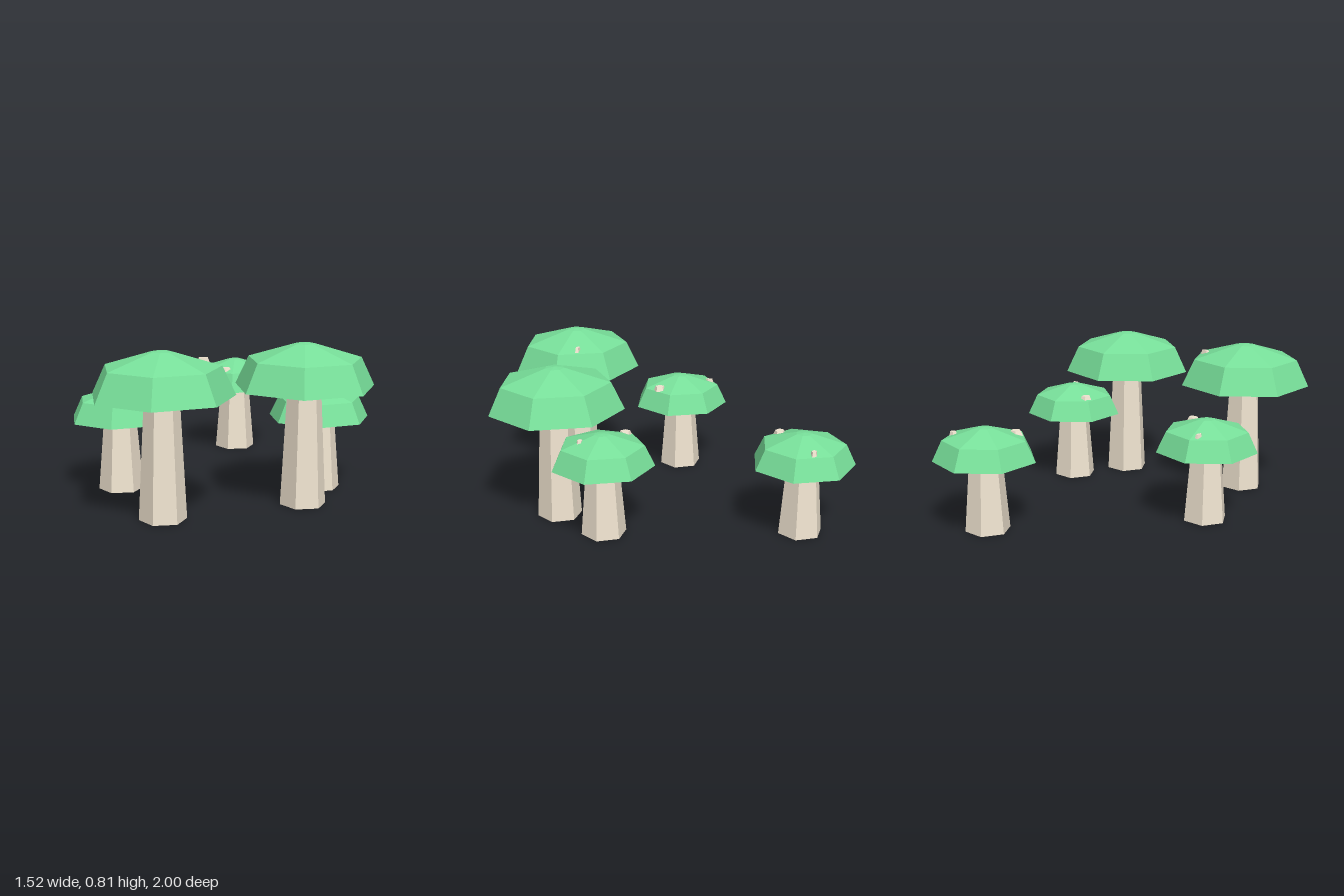
import * as THREE from 'three';

const mat = (color) => new THREE.MeshStandardMaterial({ color, flatShading: true });

export function createModel() {
  const model = new THREE.Group();
  const green = mat(0x78e09a);
  const cream = mat(0xf0e4d0);

  // Seven-sided cap, corner pointing to +x: radius, height from underside to apex
  const capShape = (profile) => new THREE.LatheGeometry(
    profile.map(([r, y]) => new THREE.Vector2(r, y)), 7, Math.PI / 2);
  const sizes = {
    large: {
      stemTop: 0.57,
      cap: capShape([[0, 0.55], [0.1, 0.55], [0.35, 0.59], [0.283, 0.73], [0.05, 0.802], [0, 0.808]]),
      slope: (r) => 0.808 - r * 0.28,
    },
    small: {
      stemTop: 0.355,
      cap: capShape([[0, 0.34], [0.08, 0.34], [0.262, 0.37], [0.212, 0.475], [0.04, 0.53], [0, 0.534]]),
      slope: (r) => 0.534 - r * 0.28,
    },
  };

  // Six-sided tapered stem, corners on the x axis
  const stemShape = (h) => new THREE.CylinderGeometry(0.085, 0.115, h, 6, 1, false, Math.PI / 2)
    .translate(0, h / 2, 0);
  const spotShape = new THREE.CylinderGeometry(0.7, 1, 1, 5);

  // Spots: offset x, z from the cap centre, then half sizes in x and z
  const mushrooms = [
    { size: 'large', x: -0.36, z: 0.655, spots: [[0.205, -0.085, 0.032, 0.014]] },
    { size: 'large', x: 0.35, z: 0.5, spots: [] },
    { size: 'small', x: 0.208, z: -0.745, spots: [[0.147, -0.075, 0.026, 0.018], [-0.08, 0.135, 0.04, 0.032]] },
    { size: 'small', x: -0.525, z: 0.09, spots: [[-0.065, -0.155, 0.014, 0.028], [0.145, 0.08, 0.036, 0.035]] },
    { size: 'small', x: 0.495, z: 0.205, spots: [[-0.155, -0.07, 0.032, 0.036], [0.07, 0.09, 0.025, 0.018]] },
  ];

  for (const { size, x, z, spots } of mushrooms) {
    const { stemTop, cap, slope } = sizes[size];
    const mushroom = new THREE.Group();
    mushroom.name = size + 'Mushroom';
    mushroom.position.set(x, 0, z);

    const add = (name, geometry, material) => {
      const mesh = new THREE.Mesh(geometry, material);
      mesh.name = name;
      mushroom.add(mesh);
      return mesh;
    };
    add('stem', stemShape(stemTop), cream);
    add('cap', cap, green);

    // Pale flakes half sunk in the cap
    for (const [sx, sz, w, d] of spots) {
      const spot = add('capSpot', spotShape, cream);
      spot.position.set(sx, slope(Math.hypot(sx, sz)), sz);
      spot.scale.set(w, 0.024, d);
    }
    model.add(mushroom);
  }
  return model;
}
